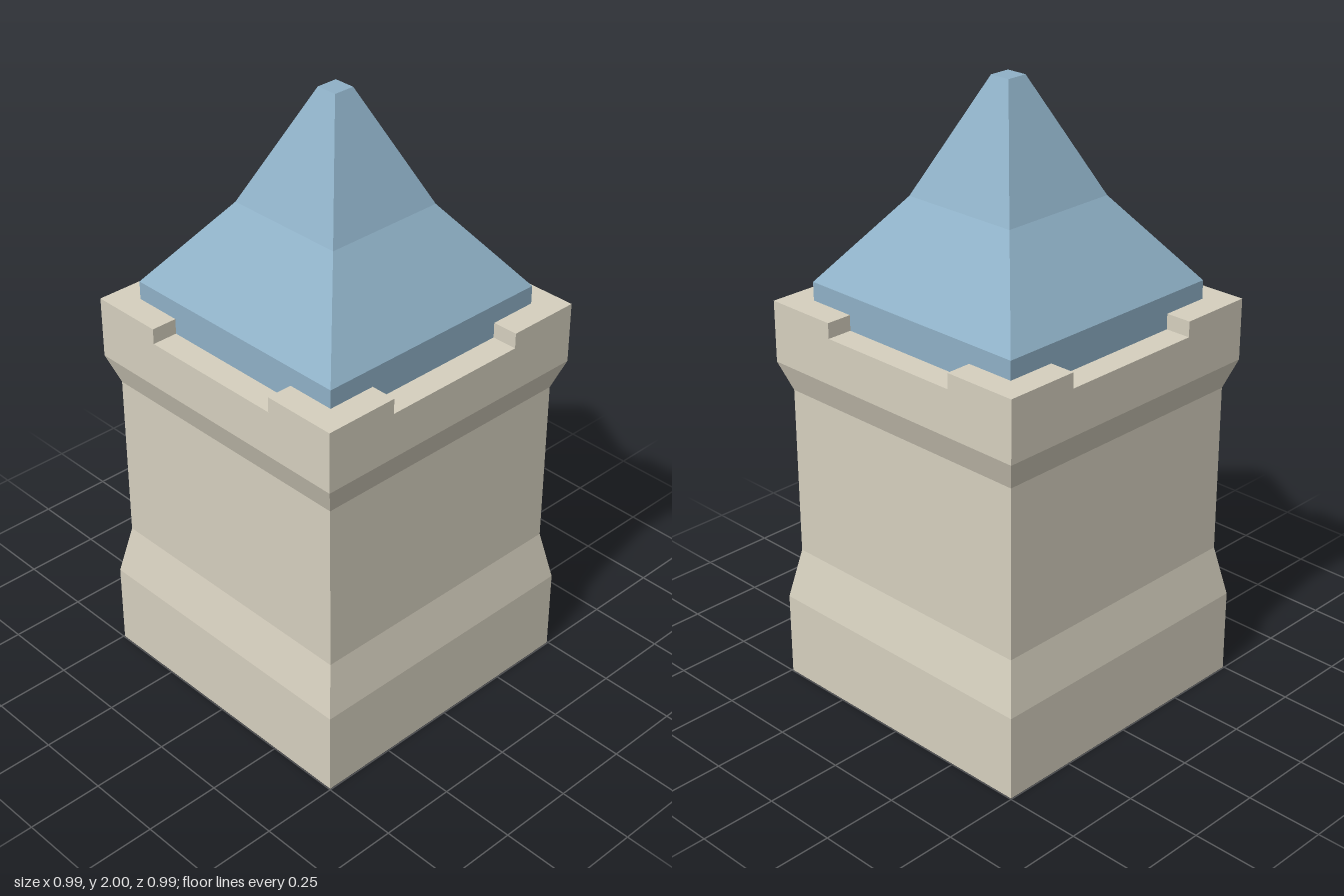
import * as THREE from 'three';

const stone = new THREE.MeshStandardMaterial({ color: 0xd6d0bf, flatShading: true });
const slate = new THREE.MeshStandardMaterial({ color: 0x8fb1c7, flatShading: true });

const HALF = 0.497;   // outer half width of the tower
const ROOF = 0.412;   // half width of the roof
const NOTCH = 0.25;   // half width of the parapet openings
const LEDGE = 1.255;  // floor of the parapet openings
const TOP = 1.305;    // top of the parapet

// Square solid from [half width, height] pairs, bottom to top
function squareTower(name, profile, material) {
  const points = profile.map(([w, y]) => new THREE.Vector2(w * Math.SQRT2, y));
  points.unshift(new THREE.Vector2(0, profile[0][1]));
  points.push(new THREE.Vector2(0, profile[profile.length - 1][1]));
  const mesh = new THREE.Mesh(new THREE.LatheGeometry(points, 4, Math.PI / 4), material);
  mesh.name = name;
  return mesh;
}

export function createModel() {
  const group = new THREE.Group();
  group.name = 'tower';

  // Stone shaft with flared foot and head
  group.add(squareTower('shaft', [
    [HALF, 0], [HALF, 0.28], [0.463, 0.45], [0.463, 1.01], [HALF, 1.105], [HALF, LEDGE],
  ], stone));

  // L-shaped parapet block on each corner
  const corner = new THREE.Shape([
    [NOTCH, ROOF], [ROOF, ROOF], [ROOF, NOTCH], [HALF, NOTCH], [HALF, HALF], [NOTCH, HALF],
  ].map(([x, y]) => new THREE.Vector2(x, y)));
  const cornerGeometry = new THREE.ExtrudeGeometry(corner, { depth: TOP - LEDGE, bevelEnabled: false });
  cornerGeometry.rotateX(-Math.PI / 2);
  const parapet = new THREE.Group();
  parapet.name = 'parapet';
  for (let i = 0; i < 4; i++) {
    const block = new THREE.Mesh(cornerGeometry, stone);
    block.name = 'parapetCorner' + (i + 1);
    block.position.y = LEDGE;
    block.rotation.y = i * Math.PI / 2;
    parapet.add(block);
  }
  group.add(parapet);

  // Two-pitch roof with a small flat tip
  group.add(squareTower('roof', [
    [ROOF, LEDGE], [ROOF, 1.365], [0.205, 1.635], [0.035, 2],
  ], slate));

  return group;
}
